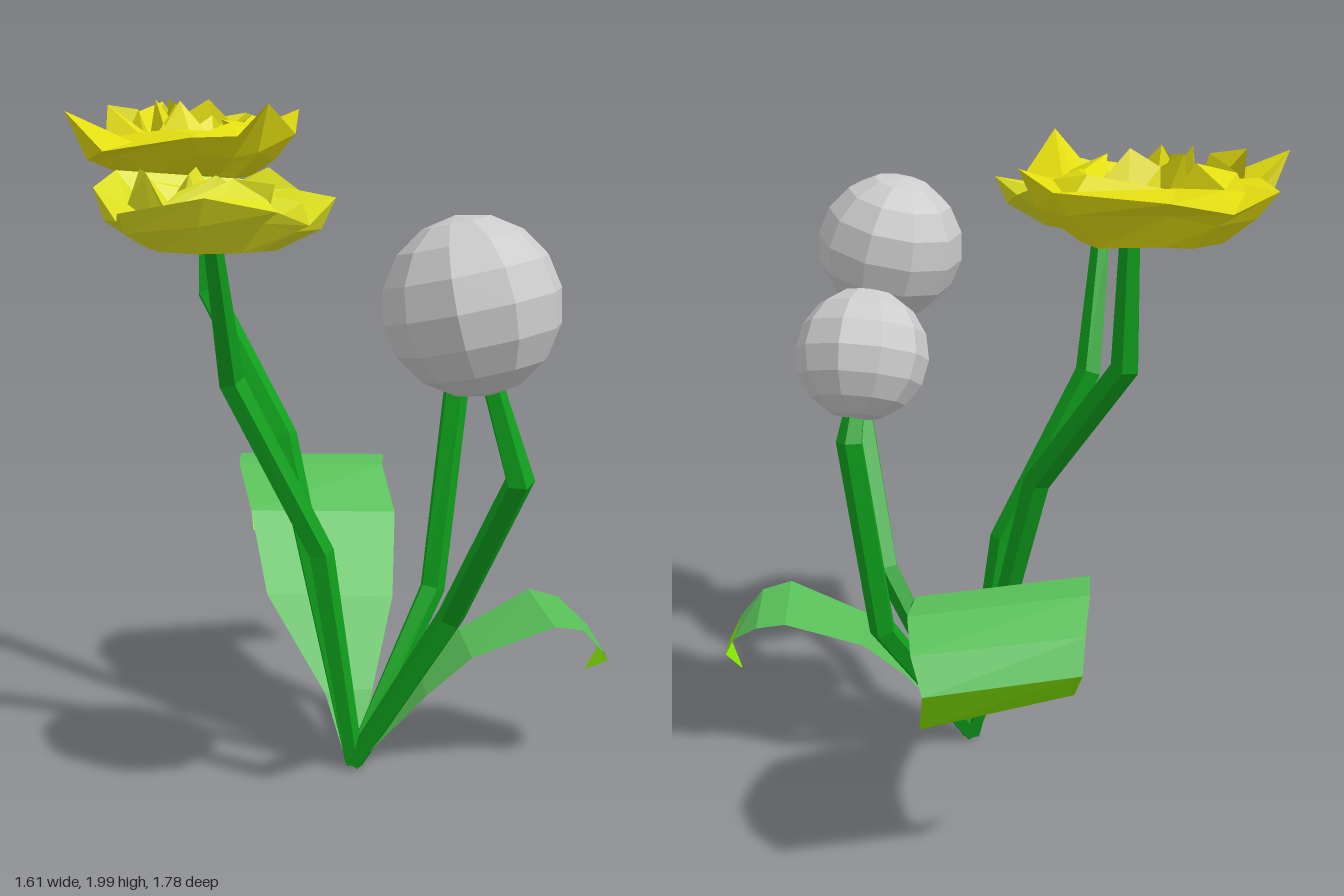
import * as THREE from 'three';

const V = (x, y, z) => new THREE.Vector3(x, y, z);
const BASE = [0.03, 0.03, 0.13];

function material(color, doubleSided = false) {
  return new THREE.MeshStandardMaterial({
    color, flatShading: true, side: doubleSided ? THREE.DoubleSide : THREE.FrontSide,
  });
}

// Skin a list of equally long cross-sections (rows of Vector3)
function skin(rows, closed) {
  const n = rows[0].length;
  const index = [];
  for (let i = 0; i < rows.length - 1; i++) {
    for (let j = 0; j < (closed ? n : n - 1); j++) {
      const a = i * n + j, b = i * n + (j + 1) % n;
      index.push(a, b, b + n, a, b + n, a + n);
    }
  }
  const g = new THREE.BufferGeometry().setFromPoints(rows.flat());
  g.setIndex(index);
  const flat = g.toNonIndexed();
  flat.computeVertexNormals();
  return flat;
}

function add(parent, name, geometry, mat) {
  const mesh = new THREE.Mesh(geometry, mat);
  mesh.name = name;
  parent.add(mesh);
  return mesh;
}

// Five-sided bent stem with mitred joints and closed ends
function stemGeometry(path) {
  const p = path.map((q) => V(...q));
  const last = p.length - 1;
  const rows = p.map((c, i) => {
    const t = V(0, 0, 0);
    if (i > 0) t.add(c.clone().sub(p[i - 1]).normalize());
    if (i < last) t.add(p[i + 1].clone().sub(c).normalize());
    t.normalize();
    const v = t.clone().cross(V(1, 0, 0)).normalize();
    const u = v.clone().cross(t);
    const r = i === 0 ? 0.03 : i === last ? 0.028 : 0.041;
    return Array.from({ length: 5 }, (_, k) => {
      const a = (k / 5) * Math.PI * 2;
      return c.clone().addScaledVector(u, r * Math.cos(a)).addScaledVector(v, r * Math.sin(a));
    });
  });
  const cap = (c) => Array.from({ length: 5 }, () => c.clone());
  return skin([cap(p[0]), ...rows, cap(p[last])], true);
}

// Small repeatable noise in -1..1
function noise(seed) {
  let s = seed;
  return () => {
    s = (s * 16807) % 2147483647;
    return (s / 2147483647) * 2 - 1;
  };
}

// Crumpled blossom: flat base, flaring bowl, jagged rim, folded petals inside
function blossomGeometry({ centre, base, rim, petalY, seed }) {
  const rnd = noise(seed);
  const edge = rim.map((q) => V(...q)).reverse();
  const c = V(...centre), b = V(...base);
  const ring = (around, scale, y, jitterXZ, jitterY) => edge.map((e) => V(
    around.x + (e.x - around.x) * scale + rnd() * jitterXZ,
    y + rnd() * jitterY,
    around.z + (e.z - around.z) * scale + rnd() * jitterXZ,
  ));
  const point = (q, y) => edge.map(() => V(q.x, y, q.z));
  return skin([
    point(b, b.y),
    ring(b, 0.55, b.y + 0.01, 0.01, 0.008),
    ring(c, 0.85, b.y + 0.08, 0.02, 0.02),
    edge,
    ring(c, 0.7, petalY - 0.02, 0.04, 0.04),
    ring(c, 0.55, petalY + 0.03, 0.05, 0.05),
    ring(c, 0.38, petalY - 0.04, 0.04, 0.04),
    ring(c, 0.22, petalY + 0.03, 0.04, 0.05),
    point(c, petalY - 0.05),
  ], true);
}

export function createModel() {
  const group = new THREE.Group();
  group.name = 'flowerCluster';
  const green = material(0x0fa01c);
  const blade = material(0x58bf58, true);
  const lime = material(0x84e600, true);
  const grey = material(0xcccccc);

  // Stems
  const stems = {
    largeBallStem: [BASE, [0.3, 0.54, 0.28], [0.41, 1.06, 0.71], [0.33, 1.34, 0.68]],
    smallBallStem: [BASE, [0.3, 0.5, -0.12], [0.38, 1.12, -0.21], [0.36, 1.24, -0.16]],
    backBlossomStem: [BASE, [-0.16, 0.99, -0.17], [-0.38, 1.4, -0.44], [-0.38, 1.79, -0.49]],
    frontBlossomStem: [BASE, [-0.07, 0.7, 0.13], [-0.33, 1.23, 0.15], [-0.38, 1.66, 0.33]],
  };
  for (const [name, path] of Object.entries(stems)) add(group, name, stemGeometry(path), green);

  // Faceted ball heads, tilted along their stems
  const balls = [
    ['largeBall', 0.237, [0.285, 1.52, 0.665], [-0.2, 1, -0.12]],
    ['smallBall', 0.193, [0.345, 1.355, -0.115], [-0.1, 1, 0.42]],
  ];
  for (const [name, r, pos, axis] of balls) {
    const ball = add(group, name, new THREE.SphereGeometry(r, 10, 8), grey);
    ball.position.set(...pos);
    ball.quaternion.setFromUnitVectors(V(0, 1, 0), V(...axis).normalize());
  }

  // Curling leaves: each row is one edge point and the opposite edge point
  const backLeaf = [
    [0.01, 0.02, 0.13, 0.05, 0.02, 0.13],
    [-0.05, 0.22, 0.04, 0.1, 0.22, 0.01],
    [-0.22, 0.5, -0.1, 0.18, 0.46, -0.16],
    [-0.26, 0.72, -0.28, 0.21, 0.68, -0.37],
    [-0.29, 0.82, -0.5, 0.19, 0.79, -0.57],
    [-0.28, 0.82, -0.64, 0.21, 0.79, -0.71],
    [-0.26, 0.75, -0.76, 0.2, 0.73, -0.83],
    [-0.25, 0.66, -0.81, 0.17, 0.64, -0.89],
    [-0.24, 0.54, -0.67, 0.18, 0.5, -0.79],
  ];
  const sideLeaf = [
    [0.03, 0.02, 0.15, 0.04, 0.02, 0.11],
    [0.24, 0.28, 0.23, 0.24, 0.28, 0.03],
    [0.37, 0.4, 0.25, 0.37, 0.4, -0.01],
    [0.61, 0.5, 0.28, 0.6, 0.5, -0.08],
    [0.7, 0.48, 0.26, 0.69, 0.48, -0.06],
    [0.77, 0.4, 0.24, 0.77, 0.41, 0.02],
    [0.8, 0.35, 0.17, 0.8, 0.35, 0.04],
    [0.755, 0.29, 0.08, 0.755, 0.29, 0.07],
  ];
  const addLeaf = (name, rows, tipStart) => {
    const pts = rows.map((r) => [V(r[0], r[1], r[2]), V(r[3], r[4], r[5])]);
    add(group, name, skin(pts.slice(0, tipStart + 1), false), blade);
    add(group, name + 'Tip', skin(pts.slice(tipStart), false), lime);
  };
  addLeaf('backLeaf', backLeaf, 7);
  addLeaf('sideLeaf', sideLeaf, 5);

  // Crumpled blossoms
  add(group, 'backBlossom', blossomGeometry({
    centre: [-0.44, 1.85, -0.49], base: [-0.42, 1.76, -0.54], petalY: 1.92, seed: 77,
    rim: [
      [-0.59, 1.88, -0.84], [-0.44, 1.9, -0.8], [-0.16, 1.92, -0.75], [-0.08, 1.96, -0.62],
      [-0.11, 1.9, -0.31], [-0.2, 2.0, -0.14], [-0.29, 1.9, -0.21], [-0.43, 1.9, -0.16],
      [-0.69, 1.86, -0.18], [-0.81, 1.97, -0.36], [-0.73, 1.9, -0.39], [-0.74, 1.9, -0.62],
    ],
  }), material(0xe2dc10, true));
  add(group, 'frontBlossom', blossomGeometry({
    centre: [-0.4, 1.73, 0.34], base: [-0.42, 1.63, 0.36], petalY: 1.77, seed: 4211,
    rim: [
      [-0.28, 1.79, -0.02], [-0.21, 1.83, 0.06], [-0.11, 1.76, 0.21], [-0.05, 1.78, 0.45],
      [-0.13, 1.72, 0.57], [-0.21, 1.75, 0.53], [-0.4, 1.8, 0.65], [-0.62, 1.76, 0.62],
      [-0.63, 1.72, 0.44], [-0.7, 1.79, 0.21], [-0.64, 1.83, 0.13],
    ],
  }), material(0xdde020, true));

  return group;
}
